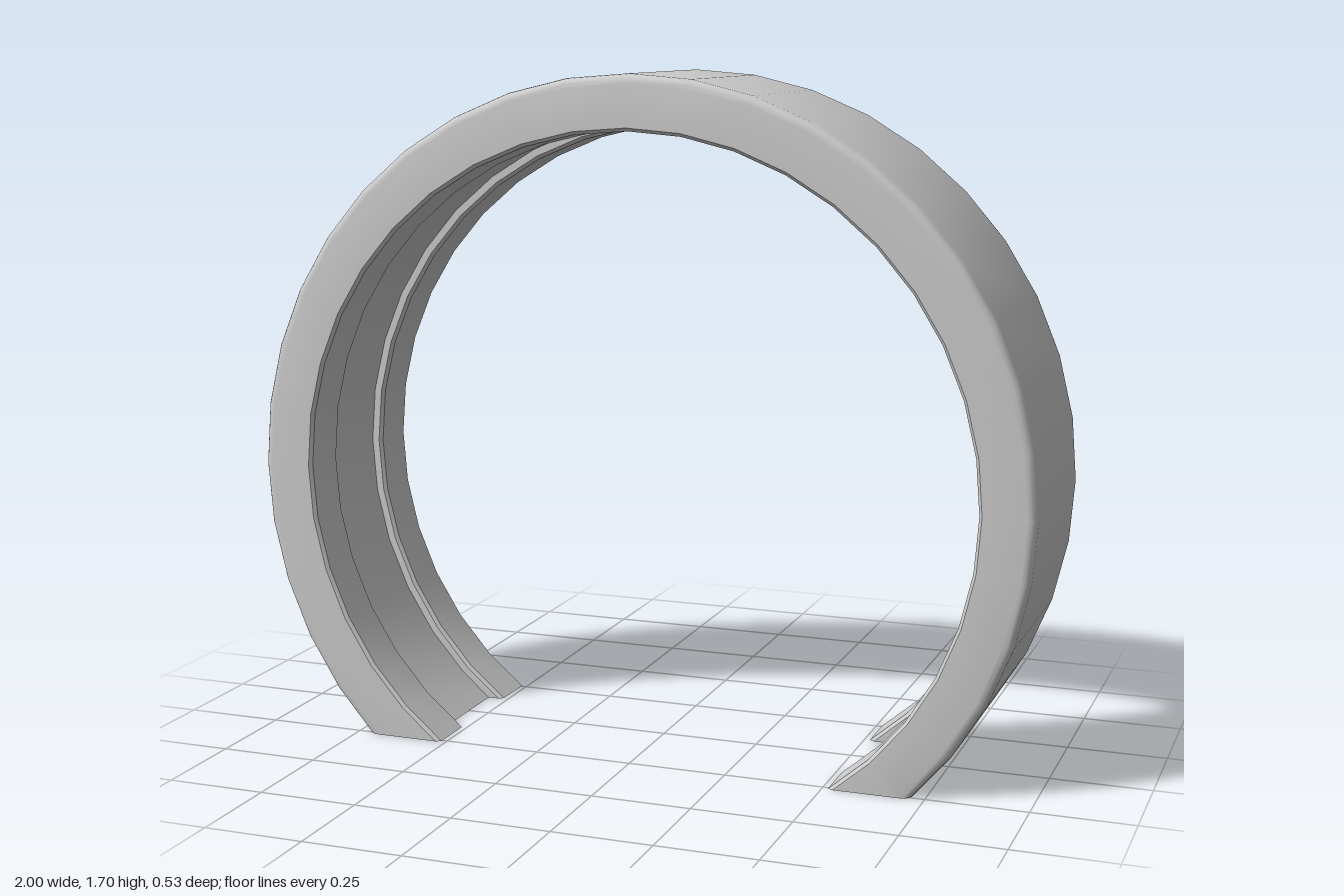
import * as THREE from 'three';
import { toCreasedNormals } from 'three/addons/utils/BufferGeometryUtils.js';

const CENTRE_Y = 0.695;   // height of the ring's axis above the flat cut
const OUTER = 1, INNER = 0.865, HALF = 0.263;
const STEP = Math.PI / 20; // 40-sided ring

// Cross-section in (z, radius), counter-clockwise
function bandProfile() {
  const pts = [];
  const add = (z, r) => pts.push(new THREE.Vector2(z, r));
  const grooveR = INNER + 0.027, grooveZ = 0.125, chamfer = 0.008, fillet = 0.022;
  // inner side: lip, groove, lip
  add(-HALF, INNER + chamfer);
  add(-HALF + chamfer, INNER);
  add(-grooveZ - 0.008, INNER);
  add(-grooveZ, INNER + 0.008);
  add(-grooveZ, grooveR);
  add(grooveZ, grooveR);
  add(grooveZ, INNER + 0.008);
  add(grooveZ + 0.008, INNER);
  add(HALF - chamfer, INNER);
  add(HALF, INNER + chamfer);
  // rounded outer edges
  for (const side of [1, -1]) {
    for (let k = 0; k <= 4; k++) {
      const t = (side > 0 ? k : 4 - k) * Math.PI / 8;
      add(side * (HALF - fillet + fillet * Math.cos(t)), OUTER - fillet + fillet * Math.sin(t));
    }
  }
  return pts;
}

// Point on the ring at step k, pulled back along its facet to the y = 0 cut
function ringPoint(p, k) {
  const at = (i) => new THREE.Vector3(
    p.y * Math.sin(i * STEP), CENTRE_Y + p.y * Math.cos(i * STEP), p.x);
  let v = at(k);
  const dir = Math.sign(k);
  while (v.y < 0) {
    k -= dir;
    const prev = at(k);
    if (prev.y >= 0) return prev.lerp(v, prev.y / (prev.y - v.y));
    v = prev;
  }
  return v;
}

function bandGeometry() {
  const profile = bandProfile();
  const n = profile.length;
  const rings = [];
  for (let k = -17; k <= 17; k++) rings.push(profile.map((p) => ringPoint(p, k)));

  const pos = [];
  const tri = (a, b, c) => {
    const area = b.clone().sub(a).cross(c.clone().sub(a)).length();
    if (area > 1e-9) for (const v of [a, b, c]) pos.push(v.x, v.y, v.z);
  };
  // swept surface
  for (let i = 0; i < rings.length - 1; i++) {
    for (let j = 0; j < n; j++) {
      const m = (j + 1) % n;
      const a = rings[i][j], b = rings[i + 1][j], c = rings[i + 1][m], d = rings[i][m];
      tri(a, b, c);
      tri(a, c, d);
    }
  }
  // flat feet where the band is cut
  const first = rings[0], last = rings[rings.length - 1];
  for (const [a, b, c] of THREE.ShapeUtils.triangulateShape(profile, [])) {
    tri(first[a], first[b], first[c]);
    tri(last[c], last[b], last[a]);
  }
  const geo = new THREE.BufferGeometry();
  geo.setAttribute('position', new THREE.Float32BufferAttribute(pos, 3));
  return toCreasedNormals(geo, Math.PI / 6);
}

export function createModel() {
  const group = new THREE.Group();
  group.name = 'openRing';
  const band = new THREE.Mesh(bandGeometry(), new THREE.MeshStandardMaterial({ color: 0xcccccc }));
  band.name = 'groovedBand';
  group.add(band);
  return group;
}
